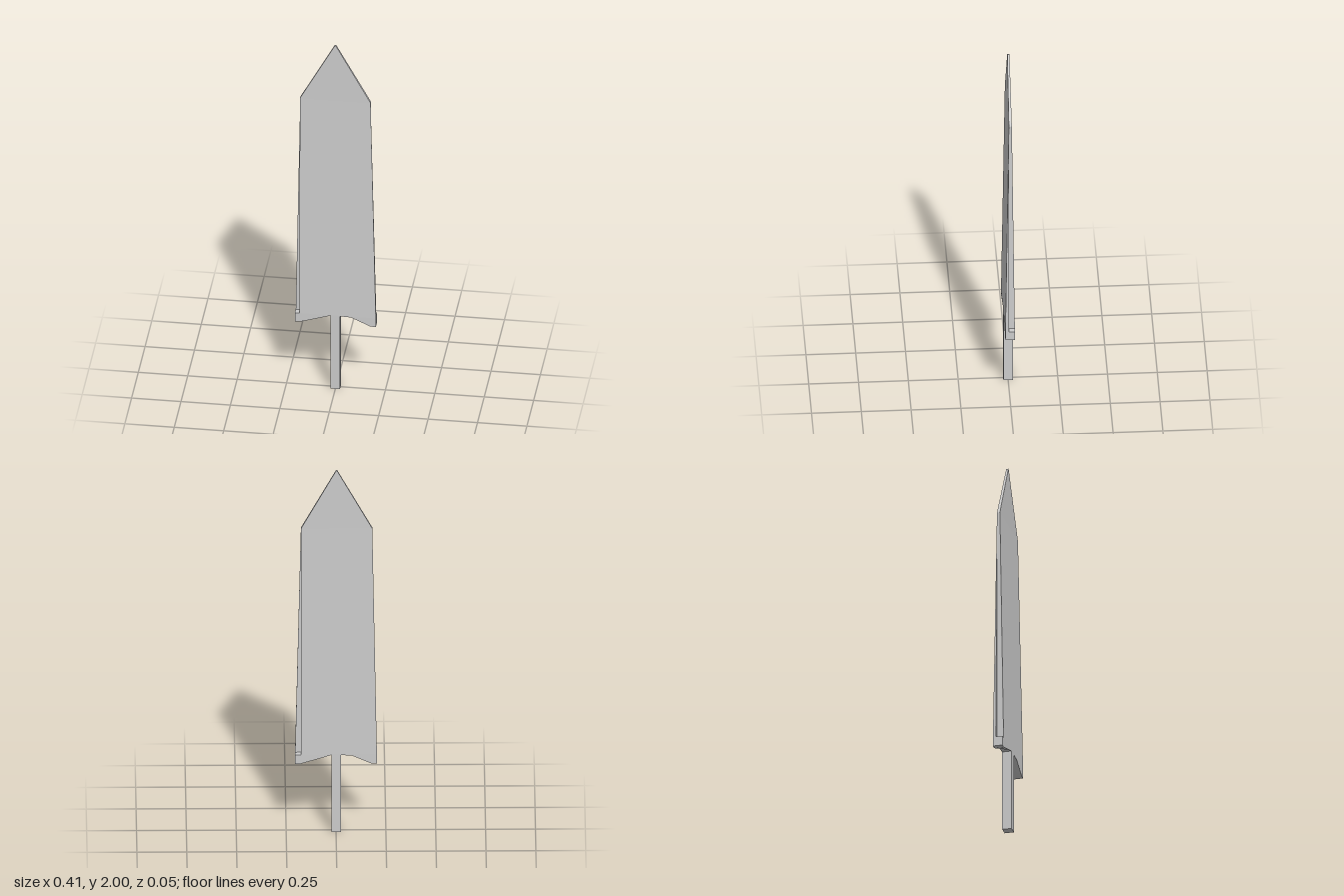
import * as THREE from 'three';

// Joins matching counter-clockwise 2D loops into a faceted solid; place() maps a 2D point to space.
function loft(loops, place, capStart, capEnd) {
  const pos = [];
  const tri = (a, b, c) => {
    const area = b.clone().sub(a).cross(c.clone().sub(a)).length();
    if (area > 1e-10) for (const p of [a, b, c]) pos.push(p.x, p.y, p.z);
  };
  const rings = loops.map(l => l.points.map(p => place(p[0], p[1], l.at)));
  for (let k = 0; k + 1 < rings.length; k++) {
    const a = rings[k], b = rings[k + 1], n = a.length;
    for (let i = 0; i < n; i++) {
      const j = (i + 1) % n;
      tri(a[i], a[j], b[j]);
      tri(a[i], b[j], b[i]);
    }
  }
  const cap = (k, flip) => {
    const flat = loops[k].points.map(p => new THREE.Vector2(p[0], p[1]));
    for (const [a, b, c] of THREE.ShapeUtils.triangulateShape(flat, [])) {
      const r = rings[k];
      if (flip) tri(r[a], r[c], r[b]);
      else tri(r[a], r[b], r[c]);
    }
  };
  if (capStart) cap(0, true);
  if (capEnd) cap(loops.length - 1, false);
  const g = new THREE.BufferGeometry();
  g.setAttribute('position', new THREE.Float32BufferAttribute(pos, 3));
  g.computeVertexNormals();
  return g;
}

// Blade section: a core of half width s, with one thin cutting wing on each side.
function bladeSection(at, s, left, right, front, back) {
  const ledgeF = Math.min(front, 0.005), ledgeB = Math.max(back, -0.01), c = -0.003;
  const pts = [
    [c - s, front], [right, front], [right, ledgeF], [c + s, ledgeF],
    [c + s, back], [left, back], [left, ledgeB], [c - s, ledgeB],
  ];
  return { at, points: pts.map(([x, z]) => [x, -z]) };
}

// Guard outline: notched underside with different depths on the two sides.
function guardOutline(at, yLeft, yRight) {
  return {
    at,
    points: [
      [-0.205, 0.38], [-0.178, 0.38], [-0.08, yLeft], [-0.025, 0.428],
      [0.025, 0.428], [0.08, yRight], [0.178, 0.38], [0.205, 0.38],
      [0.205, 0.43], [-0.205, 0.43],
    ],
  };
}

export function createModel() {
  const steel = new THREE.MeshStandardMaterial({ color: 0xcccccc, flatShading: true });
  steel.name = 'steel';
  const group = new THREE.Group();
  group.name = 'swordBlade';
  const add = (name, geometry) => {
    const mesh = new THREE.Mesh(geometry, steel);
    mesh.name = name;
    group.add(mesh);
    return mesh;
  };

  // Blade: tapers to the shoulders, then to the point
  add('blade', loft([
    bladeSection(0.43, 0.179, -0.205, 0.205, 0.024, -0.025),
    bladeSection(1.68, 0.179, -0.182, 0.176, 0.005, -0.01),
    bladeSection(2.0, 0.003, -0.006, 0.0, 0.003, -0.008),
  ], (x, v, y) => new THREE.Vector3(x, y, -v), false, true));

  // Guard at the foot of the blade
  add('guard', loft([
    guardOutline(-0.025, 0.425, 0.41),
    guardOutline(0.024, 0.41, 0.425),
  ], (x, y, z) => new THREE.Vector3(x, y, z), true, true));

  // Square tang
  add('tang', new THREE.BoxGeometry(0.048, 0.43, 0.048)).position.set(-0.001, 0.215, 0);

  return group;
}
